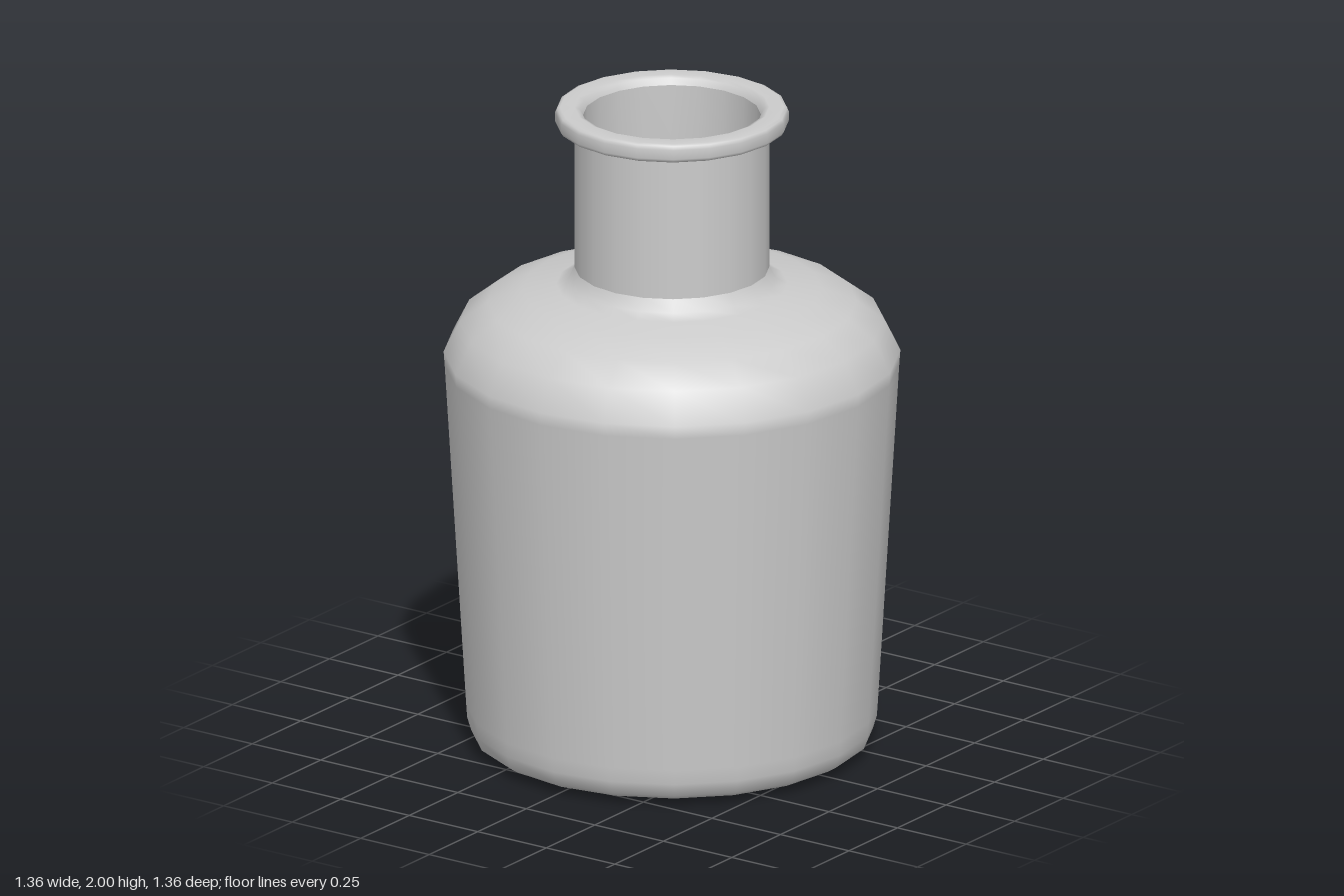
import * as THREE from 'three';

const SIDES = 20;

// Revolve a list of [radius, height] pairs around the y axis
function revolve(name, profile, material) {
  const points = profile.map(([r, y]) => new THREE.Vector2(r, y));
  const mesh = new THREE.Mesh(new THREE.LatheGeometry(points, SIDES), material);
  mesh.name = name;
  return mesh;
}

export function createModel() {
  const group = new THREE.Group();
  group.name = 'bottle';
  const material = new THREE.MeshStandardMaterial({ color: 0xcccccc, side: THREE.DoubleSide });

  // Shallow base with a rounded edge, tapered wall and round shoulder
  group.add(revolve('body', [
    [0, 0], [0.53, 0.013], [0.572, 0.018], [0.598, 0.035], [0.61, 0.075],
    [0.613, 0.12], [0.677, 1.19], [0.68, 1.23], [0.632, 1.325], [0.55, 1.387],
    [0.445, 1.428], [0.345, 1.442], [0.31, 1.458], [0.29, 1.495],
  ], material));

  // Straight neck
  group.add(revolve('neck', [[0.29, 1.495], [0.29, 1.94]], material));

  // Flat collar around the mouth, with small bevels
  group.add(revolve('lip', [
    [0.29, 1.94], [0.33, 1.941], [0.342, 1.946], [0.348, 1.956], [0.348, 1.985],
    [0.343, 1.996], [0.333, 2], [0.29, 2], [0.275, 1.994], [0.265, 1.975],
  ], material));

  // Inner wall, from the mouth down to the floor
  group.add(revolve('inside', [
    [0.265, 1.975], [0.265, 1.48], [0.285, 1.435], [0.335, 1.417], [0.435, 1.403],
    [0.535, 1.364], [0.61, 1.306], [0.653, 1.22], [0.586, 0.08], [0.56, 0.045],
    [0.52, 0.037], [0, 0.025],
  ], material));

  return group;
}
